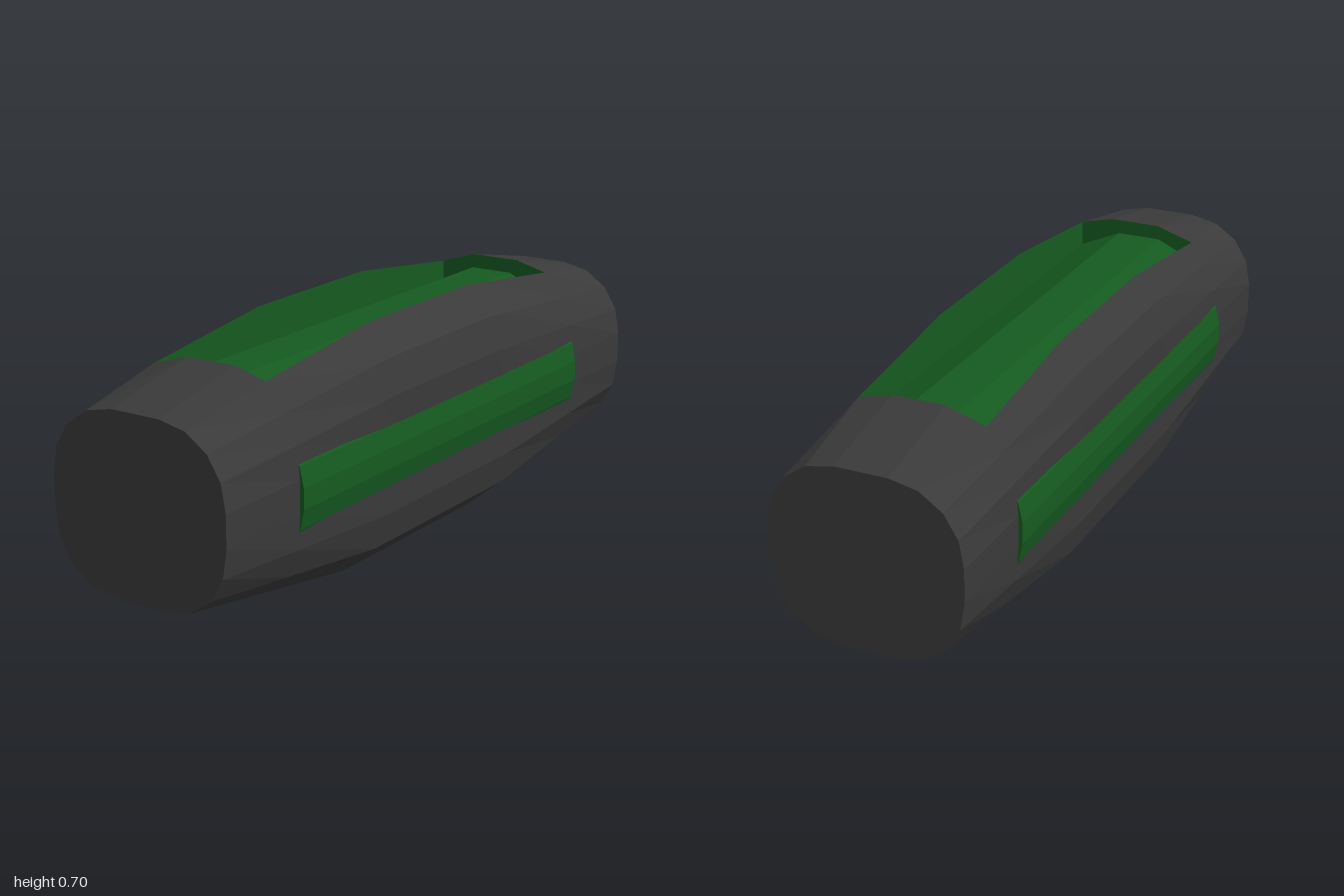
import * as THREE from 'three';

const shellMat = new THREE.MeshStandardMaterial({ color: 0x3a3a3a, flatShading: true });
const coreMat = new THREE.MeshStandardMaterial({ color: 0x155a20, flatShading: true });
const wallMat = new THREE.MeshStandardMaterial({ color: 0x155a20, flatShading: true, side: THREE.DoubleSide });

const lerp = THREE.MathUtils.lerp;
const clamp01 = t => Math.min(1, Math.max(0, t));

// Half outlines running from below the rim down to the bottom: end section and swollen middle section
const END = [[.22, .55], [.26, .485], [.273, .41], [.273, .32], [.26, .24], [.22, .173], [.152, .127], [.075, .112]];
const MID = [[.248, .62], [.273, .523], [.273, .41], [.273, .32], [.273, .2], [.248, .105], [.143, .018], [.075, 0]];
const STATIONS = [1, .7, .33, .25, -.25, -.33, -.7, -1];
const POCKET = .7;

// Edge of the top pocket, continued to the ends of the body
function rim(side, z) {
  const a = Math.abs(z);
  const x = side > 0 ? .172 : .187;
  const low = side > 0 ? .65 : .64;
  const high = side > 0 ? .703 : .695;
  if (a > POCKET) {
    const t = (1 - a) / (1 - POCKET);
    return [side * lerp(.155, x, t), lerp(.595, low, t), z];
  }
  return [side * x, lerp(low, high, clamp01((POCKET - a) / .45)), z];
}

// Ring of 20 points: right rim, round the bottom, left rim, then the two crown points
function ring(z) {
  const a = Math.abs(z);
  const half = side => END.map((e, i) => {
    const t = clamp01((1 - a) / (i < 3 ? .75 : .67));
    return [side * lerp(e[0], MID[i][0], t), lerp(e[1], MID[i][1], t), z];
  });
  const crown = lerp(.612, .675, clamp01((1 - a) / .3));
  return [rim(1, z), ...half(1), ...half(-1).reverse(), rim(-1, z), [-.075, crown, z], [.075, crown, z]];
}

function meshFrom(name, triangles, material) {
  const geo = new THREE.BufferGeometry();
  geo.setAttribute('position', new THREE.Float32BufferAttribute(triangles.flat(), 3));
  geo.computeVertexNormals();
  const mesh = new THREE.Mesh(geo, material);
  mesh.name = name;
  return mesh;
}

const quad = (a, b, c, d) => [a, b, c, a, c, d];

function makeShell() {
  const rings = STATIONS.map(ring);
  const n = rings[0].length;
  const tris = [];
  for (let i = 0; i < rings.length - 1; i++) {
    const p = rings[i], q = rings[i + 1];
    const open = Math.abs(STATIONS[i] + STATIONS[i + 1]) / 2 < POCKET;
    // the last three strips form the top, left out over the pocket
    for (let j = 0; j < (open ? n - 3 : n); j++) {
      const k = (j + 1) % n;
      tris.push(...quad(p[j], p[k], q[k], q[j]));
    }
  }
  // Flat ends
  for (let j = 0; j < n; j++) {
    const k = (j + 1) % n, f = rings[0], b = rings[rings.length - 1];
    tris.push([0, .36, 1], f[k], f[j], [0, .36, -1], b[j], b[k]);
  }
  return meshFrom('shell', tris, shellMat);
}

// Inner core: its top is the pocket floor and its flanks show as side strips
function makeCore() {
  const outline = [
    [-.187, .584], [-.08, .633], [.05, .633], [.172, .578],
    [.24, .5], [.273, .445], [.285, .39], [.285, .333], [.273, .278], [.24, .2],
    [-.24, .2], [-.273, .278], [-.285, .333], [-.285, .39], [-.273, .445], [-.24, .5],
  ];
  const shape = new THREE.Shape(outline.map(([x, y]) => new THREE.Vector2(x, y)));
  const geo = new THREE.ExtrudeGeometry(shape, { depth: 2 * POCKET, bevelEnabled: false });
  geo.translate(0, 0, -POCKET);
  const mesh = new THREE.Mesh(geo, coreMat);
  mesh.name = 'coreWithSideStrips';
  return mesh;
}

function makePocketWalls() {
  const tris = [];
  const floorY = .57;
  const down = p => [p[0], floorY, p[2]];
  const inner = STATIONS.filter(z => Math.abs(z) <= POCKET);
  // Long walls
  for (const side of [1, -1]) {
    for (let i = 0; i < inner.length - 1; i++) {
      const a = rim(side, inner[i]), b = rim(side, inner[i + 1]);
      tris.push(...quad(a, b, down(b), down(a)));
    }
  }
  // End walls follow the crown
  for (const z of [POCKET, -POCKET]) {
    const top = [...ring(z).slice(-3), rim(1, z)];
    for (let i = 0; i < 3; i++) {
      tris.push(...quad(top[i], top[i + 1], down(top[i + 1]), down(top[i])));
    }
  }
  return meshFrom('pocketWalls', tris, wallMat);
}

export function createModel() {
  const model = new THREE.Group();
  model.name = 'facetedBar';
  model.add(makeShell(), makeCore(), makePocketWalls());
  return model;
}
